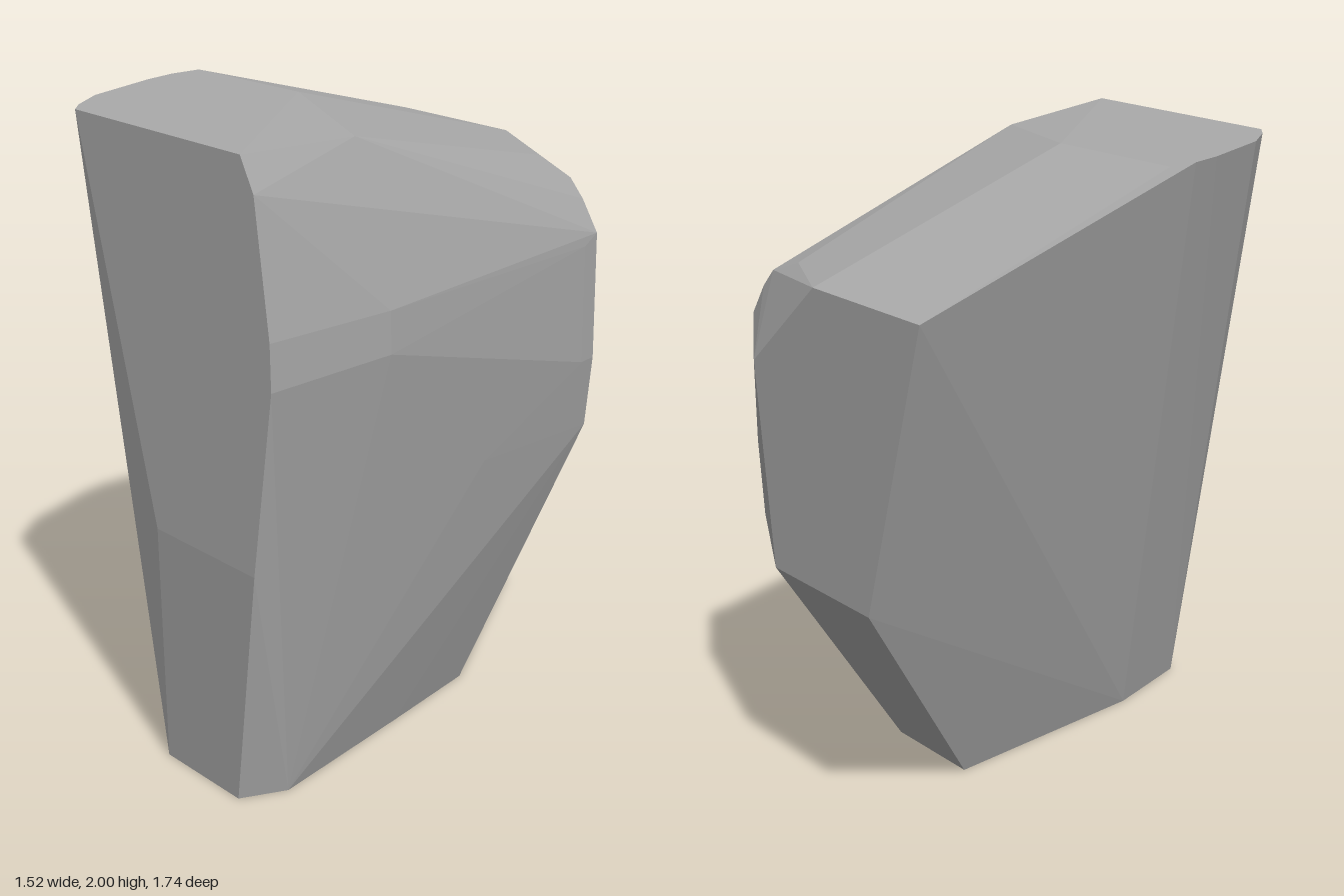
import * as THREE from 'three';
import { ConvexGeometry } from 'three/addons/geometries/ConvexGeometry.js';

// Corner helper: a ring of [a, b] pairs placed on a plane of constant y or z
const onY = (y, ring) => ring.map(([x, z]) => new THREE.Vector3(x, y, z));
const onZ = (z, ring) => ring.map(([x, y]) => new THREE.Vector3(x, y, z));

export function createModel() {
  const stone = new THREE.MeshStandardMaterial({ color: 0xaaaaaa, flatShading: true });
  stone.name = 'stoneGrey';

  const corners = [
    // flat base
    ...onY(0, [[0.25, -0.28], [0.37, 0.1], [0.54, 0.66], [0.49, 0.81], [0.12, 0.81], [0, 0.49], [-0.12, -0.28]]),
    // flat front part of the top
    ...onY(2, [[-0.54, 0.19], [-0.53, 0.3], [-0.49, 0.42], [-0.36, 0.7], [-0.26, 0.82], [-0.2, 0.87], [0.63, 0.87], [-0.02, 0.18]]),
    // front face
    ...onZ(0.87, [[0.69, 1.9], [0.755, 1.5], [0.76, 1.36], [0.67, 0.79], [0.18, 0.79]]),
    // back face
    ...onZ(-0.87, [[-0.76, 1.72], [-0.22, 1.72], [0.13, 1.43], [0.04, 0.79], [-0.48, 0.79]]),
    // chipped corner at the back of the left side
    ...onZ(-0.71, [[0.12, 1.71], [0.27, 1.66], [0.33, 1.6], [0.4, 1.5], [0.4, 1.08], [0.37, 0.84]]),
    ...onZ(-0.64, [[0.23, 1.69], [0.42, 1.47], [0.42, 1.08], [0.4, 0.94]]),
    // bulge of the left side
    ...onZ(0.38, [[0.51, 1.97], [0.675, 1.49], [0.68, 1.36]]),
    ...onZ(-0.15, [[0.5, 0.87]]),
  ];

  const rock = new THREE.Mesh(new ConvexGeometry(corners), stone);
  rock.name = 'rock';

  const group = new THREE.Group();
  group.name = 'boulder';
  group.add(rock);
  return group;
}
